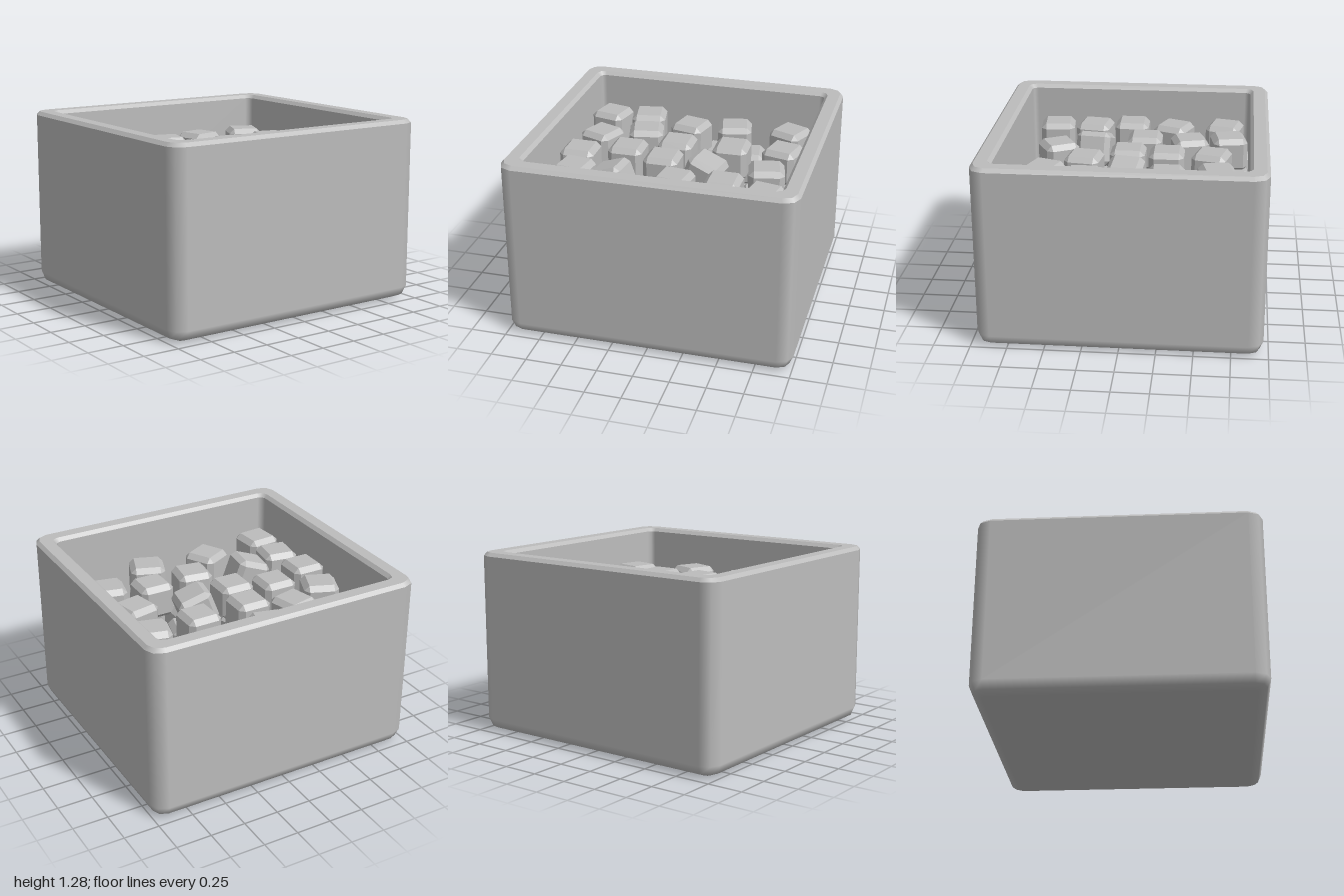
import * as THREE from 'three';
import { ConvexGeometry } from 'three/addons/geometries/ConvexGeometry.js';

const HALF_X = 1, HALF_Z = 0.965;
const CORNER_STEPS = 2;

// Rounded-rectangle loop at height y; p is the elevation of its normals in degrees
function ring([inset, r, y, p]) {
  const hx = Math.max(HALF_X - inset - r, 0), hz = Math.max(HALF_Z - inset - r, 0);
  const e = THREE.MathUtils.degToRad(p);
  const points = [];
  for (let c = 0; c < 4; c++) {
    const sx = c === 0 || c === 3 ? 1 : -1, sz = c < 2 ? 1 : -1;
    for (let k = 0; k <= CORNER_STEPS; k++) {
      const a = (c + k / CORNER_STEPS) * Math.PI / 2;
      points.push({
        pos: [sx * hx + r * Math.cos(a), y, sz * hz + r * Math.sin(a)],
        nor: [Math.cos(a) * Math.cos(e), Math.sin(e), Math.sin(a) * Math.cos(e)],
      });
    }
  }
  return points;
}

// Skin between successive loops of each band
function loft(bands) {
  const pos = [], nor = [];
  for (const band of bands) {
    const rings = band.map(ring);
    for (let j = 0; j + 1 < rings.length; j++) {
      const A = rings[j], B = rings[j + 1], n = A.length;
      for (let i = 0; i < n; i++) {
        const k = (i + 1) % n;
        for (const v of [A[i], B[i], A[k], B[i], B[k], A[k]]) {
          pos.push(...v.pos);
          nor.push(...v.nor);
        }
      }
    }
  }
  const g = new THREE.BufferGeometry();
  g.setAttribute('position', new THREE.Float32BufferAttribute(pos, 3));
  g.setAttribute('normal', new THREE.Float32BufferAttribute(nor, 3));
  return g;
}

// Cube with every edge cut off
function chamferedCube(size, cut) {
  const h = size / 2, pts = [];
  for (const x of [-1, 1]) for (const y of [-1, 1]) for (const z of [-1, 1])
    for (let axis = 0; axis < 3; axis++) {
      const v = new THREE.Vector3(x, y, z).multiplyScalar(h - cut);
      v.setComponent(axis, [x, y, z][axis] * h);
      pts.push(v);
    }
  return new ConvexGeometry(pts);
}

// Cubes on top of the pile: x, z, turn in degrees, optional tilt in degrees
const TOP = [
  [-0.72, -0.65, -13], [-0.44, -0.685, 10], [-0.08, -0.57, -14], [0.24, -0.62, 12], [0.66, -0.63, -24],
  [-0.68, -0.27, -22], [-0.38, -0.4, 14], [-0.1, -0.25, 0], [0.3, -0.27, 1], [0.67, -0.295, -14],
  [-0.74, 0.05, 0], [-0.42, -0.07, 0], [-0.13, 0.03, 0], [0.17, 0.02, -10, -20], [0.62, 0.05, 12],
  [-0.69, 0.33, -8], [-0.41, 0.3, -7, 20], [0.03, 0.33, -8], [0.37, 0.3, 0], [0.67, 0.4, -12],
];
// Front row, stacked in columns
const FRONT = [[-0.69, 0.615, 5], [-0.21, 0.545, 28], [0.265, 0.585, -20]];
// Cubes lower down that show through the gaps
const LOWER = [
  [-0.74, -0.71, 2], [-0.38, -0.71, 10], [-0.16, -0.67, -8], [0.11, -0.68, -8], [0.33, -0.68, 8], [0.72, -0.68, 8],
  [-0.74, -0.38, 5], [-0.4, -0.32, 0], [-0.02, -0.3, 8], [0.22, -0.38, -12], [0.56, -0.35, -25], [0.73, -0.36, 10],
  [-0.72, -0.04, -15], [-0.39, 0.03, -20], [-0.16, -0.07, 20], [0.24, 0, -15], [0.55, -0.03, 10], [0.73, -0.07, 5],
  [-0.5, 0.2, -8], [-0.27, 0.28, 25], [0.12, 0.26, 0], [0.7, 0.29, 25],
];

export function createModel() {
  const group = new THREE.Group();
  const grey = new THREE.MeshStandardMaterial({ color: 0xbcbcbc });
  grey.name = 'plain grey';

  // Open box: each band is a list of [inset, corner radius, height, normal elevation]
  const shell = new THREE.Mesh(loft([
    [[2, 0, 0, -90], [0.085, 0.03, 0, -90]],
    [[0.085, 0.03, 0, -90], [0.025, 0.08, 0.025, -45], [0, 0.1, 0.085, 0], [0, 0.1, 1.255, 0]],
    [[0, 0.1, 1.255, 45], [0.022, 0.085, 1.28, 45]],
    [[0.022, 0.085, 1.28, 90], [0.107, 0.055, 1.28, 90]],
    [[0.107, 0.055, 1.28, 135], [0.13, 0.04, 1.255, 135]],
    [[0.13, 0.04, 1.255, 180], [0.13, 0.04, 0.12, 180]],
    [[0.13, 0.04, 0.12, 90], [2, 0, 0.12, 90]],
  ]), grey);
  shell.name = 'openBox';
  group.add(shell);

  // Heap of cubes
  const heap = new THREE.Group();
  heap.name = 'cubeHeap';
  const cubeGeometry = chamferedCube(0.25, 0.036);
  const addLayer = (list, y, name) => {
    for (const [x, z, turn, tilt = 0] of list) {
      const cube = new THREE.Mesh(cubeGeometry, grey);
      cube.name = name;
      cube.position.set(x, y, z);
      cube.rotation.set(0, THREE.MathUtils.degToRad(turn), THREE.MathUtils.degToRad(tilt), 'YXZ');
      heap.add(cube);
    }
  };
  addLayer(TOP, 0.935, 'topCube');
  for (let layer = 1; layer < 4; layer++) addLayer(LOWER, 0.935 - layer * 0.23, 'lowerCube');
  for (let layer = 0; layer < 4; layer++) addLayer(FRONT, 0.935 - layer * 0.23, 'frontCube');
  group.add(heap);

  return group;
}
